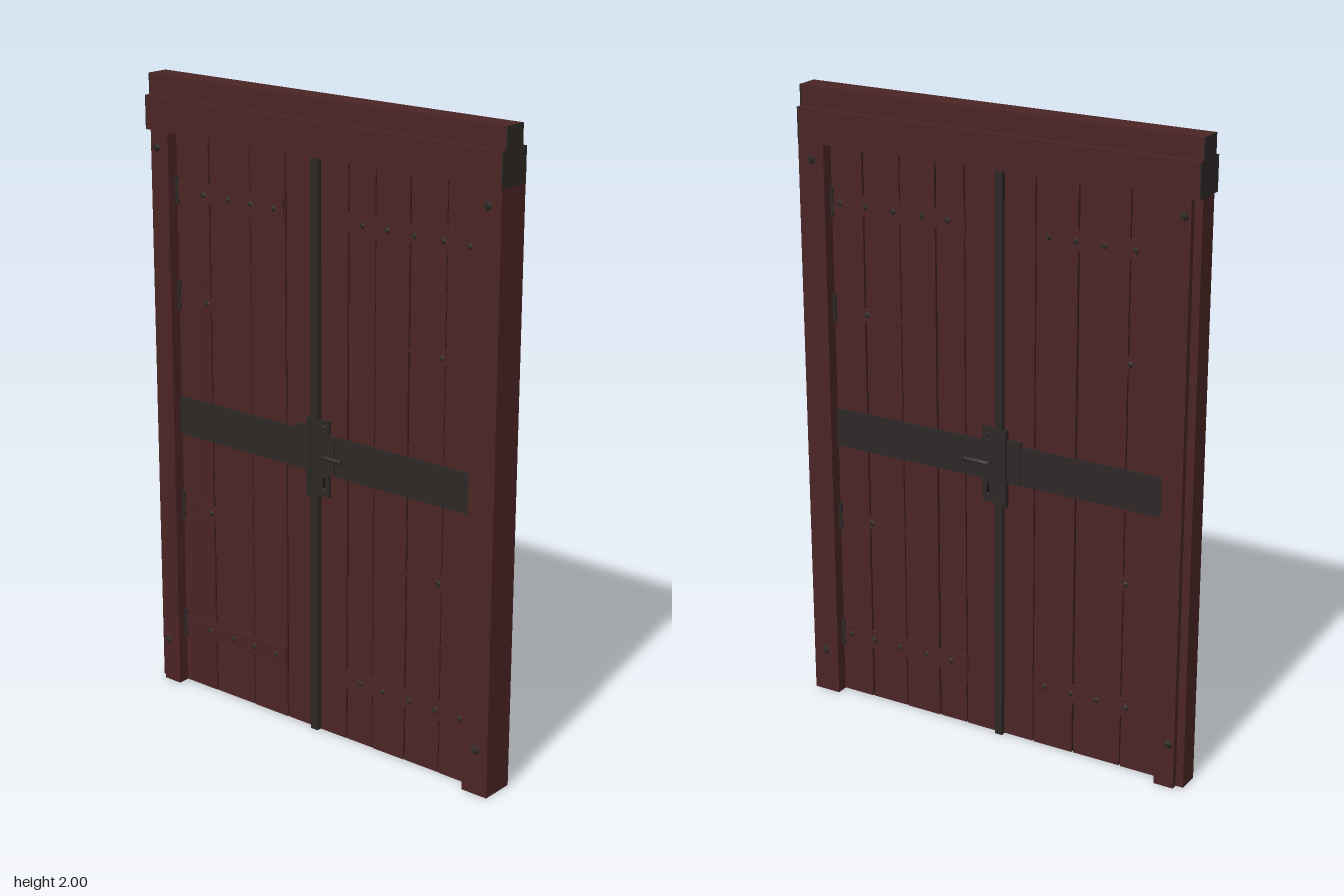
import * as THREE from 'three';

export function createModel() {
  const model = new THREE.Group();
  model.name = 'doubleDoor';
  const mat = (name, color) => {
    const m = new THREE.MeshStandardMaterial({ color });
    m.name = name;
    return m;
  };
  const wood = mat('redWood', 0x4b2425);
  const iron = mat('darkIron', 0x2d2826);
  const gap = mat('shadowGap', 0x1a1011);

  const add = (name, geometry, material, parent = model) => {
    const mesh = new THREE.Mesh(geometry, material);
    mesh.name = name;
    parent.add(mesh);
    return mesh;
  };
  // Box given by its extents
  const box = (name, x0, x1, y0, y1, z0, z1, material, parent) => {
    const mesh = add(name, new THREE.BoxGeometry(x1 - x0, y1 - y0, z1 - z0), material, parent);
    mesh.position.set((x0 + x1) / 2, (y0 + y1) / 2, (z0 + z1) / 2);
    return mesh;
  };
  // Flat outline extruded forward from z
  const plate = (name, points, z, depth, material, parent) => {
    const shape = new THREE.Shape(points.map(([x, y]) => new THREE.Vector2(x, y)));
    const geometry = new THREE.ExtrudeGeometry(shape, { depth, bevelEnabled: false });
    return add(name, geometry.translate(0, 0, z), material, parent);
  };
  // Faceted nail head; side is +1 for the front, -1 for the back
  const nail = (name, x, y, z, r, h, side, material, parent) => {
    const geometry = new THREE.CylinderGeometry(r * 0.6, r, h, 6).rotateX(side * Math.PI / 2);
    const mesh = add(name, geometry, material, parent);
    mesh.position.set(x, y, side * (z + h / 2));
  };

  // Frame: posts, stepped outer strip, lintel and cap beam
  box('leftPost', 0.575, 0.665, 0, 1.83, -0.055, 0.055, wood);
  box('rightPost', -0.64, -0.575, 0, 1.83, -0.055, 0.055, wood);
  box('rightPostStrip', -0.665, -0.64, 0, 1.83, -0.035, 0.035, wood);
  box('lintel', -0.662, 0.662, 1.83, 1.935, -0.055, 0.055, wood);
  box('capBeam', -0.662, 0.662, 1.935, 2, -0.037, 0.037, wood);
  for (const s of [-1, 1]) {
    const [a, b] = s > 0 ? [0.662, 0.666] : [-0.666, -0.662];
    box('lintelEnd', a, b, 1.83, 1.935, -0.055, 0.055, iron);
    box('capBeamEnd', a, b, 1.935, 2, -0.037, 0.037, iron);
    for (const y of [0.145, 1.78])
      for (const side of [-1, 1]) nail('postBolt', s * 0.62, y, 0.055, 0.014, 0.01, side, iron);
  }

  // Door leaves: planks over a dark core that shows in the seams
  const leaves = [
    ['rightLeaf', [-0.575, -0.44, -0.275, -0.135, -0.028]],
    ['leftLeaf', [0.0, 0.105, 0.205, 0.33, 0.46, 0.575]],
  ];
  for (const [name, seams] of leaves) {
    const leaf = new THREE.Group();
    leaf.name = name;
    model.add(leaf);
    box('leafCore', seams[0], seams[seams.length - 1], 0.006, 1.83, -0.014, 0.014, gap, leaf);
    for (let i = 0; i < seams.length - 1; i++) {
      const depth = 0.02 - (i % 2) * 0.0015;
      box('plank', seams[i] + 0.0025, seams[i + 1] - 0.0025, 0.003, 1.83, -depth, depth, wood, leaf);
    }
  }

  // Meeting strip between the leaves
  box('meetingStrip', -0.03, -0.004, 0, 1.83, -0.032, 0.032, iron);

  // Fittings repeated on the front and the back
  for (const side of [1, -1]) {
    const face = new THREE.Group();
    face.name = side > 0 ? 'frontFittings' : 'backFittings';
    model.add(face);
    const sideBox = (name, x0, x1, y0, y1, z0, z1, m) =>
      side > 0 ? box(name, x0, x1, y0, y1, z0, z1, m, face) : box(name, x0, x1, y0, y1, -z1, -z0, m, face);
    const sidePlate = (name, points, z, depth, m) =>
      plate(name, points, side > 0 ? z : -z - depth, depth, m, face);

    // Nailed battens across the top and bottom of each leaf
    for (const y of [0.18, 1.62]) {
      sideBox('rightBatten', -0.565, -0.14, y, y + 0.06, 0.019, 0.026, wood);
      sideBox('leftBatten', 0.1, 0.57, y, y + 0.06, 0.019, 0.026, wood);
      for (const x of [-0.46, -0.36, -0.27, -0.18, 0.16, 0.25, 0.35, 0.45, 0.54])
        nail('battenNail', x, y + 0.03, 0.026, 0.01, 0.005, side, iron, face);
    }

    // Tapered strap hinges and their barrels
    for (const s of [-1, 1]) {
      for (const y of [0.62, 1.31]) {
        sidePlate('hingeStrap', [
          [s * 0.565, y - 0.025], [s * 0.43, y - 0.02], [s * 0.3, y],
          [s * 0.43, y + 0.02], [s * 0.565, y + 0.025],
        ], 0.019, 0.006, wood);
        nail('hingeNail', s * 0.45, y, 0.025, 0.01, 0.004, side, iron, face);
      }
      for (const y of [0.21, 0.62, 1.315, 1.65]) {
        const barrel = add('hingeBarrel', new THREE.CylinderGeometry(0.007, 0.007, 0.09, 8), iron, face);
        barrel.position.set(s * 0.569, y, side * 0.024);
      }
    }

    // Wide iron bands
    sideBox('rightBand', -0.574, -0.09, 0.86, 0.985, 0.018, 0.025, iron);
    sideBox('leftBand', 0.06, 0.574, 0.86, 0.985, 0.018, 0.025, iron);
    sideBox('bandEndPlate', -0.092, -0.03, 0.86, 1.0, 0.018, 0.029, iron);

    // Lock plate with keyhole, latch and bent handle
    sidePlate('lockPlate', [
      [-0.004, 0.79], [0.04, 0.79], [0.04, 0.86], [0.06, 0.87],
      [0.06, 0.98], [0.04, 0.99], [0.04, 1.03], [-0.004, 1.03],
    ], 0.019, 0.012, iron);
    sideBox('latchPlate', -0.045, -0.03, 0.78, 1.03, 0.019, 0.036, iron);
    sideBox('keyhole', 0.017, 0.025, 0.82, 0.85, 0.03, 0.032, gap);
    for (const y of [0.81, 1.01]) nail('lockNail', 0.02, y, 0.031, 0.007, 0.004, side, iron, face);
    const path = new THREE.CatmullRomCurve3([
      [0.015, 0.92, 0.028], [0.018, 0.92, 0.044], [0.05, 0.922, 0.047], [0.09, 0.92, 0.045],
    ].map(([x, y, z]) => new THREE.Vector3(x, y, side * z)));
    add('handle', new THREE.TubeGeometry(path, 10, 0.007, 6), iron, face);
    const knob = add('handleTip', new THREE.SphereGeometry(0.009, 8, 6), iron, face);
    knob.position.set(0.09, 0.92, side * 0.045);
  }
  return model;
}
